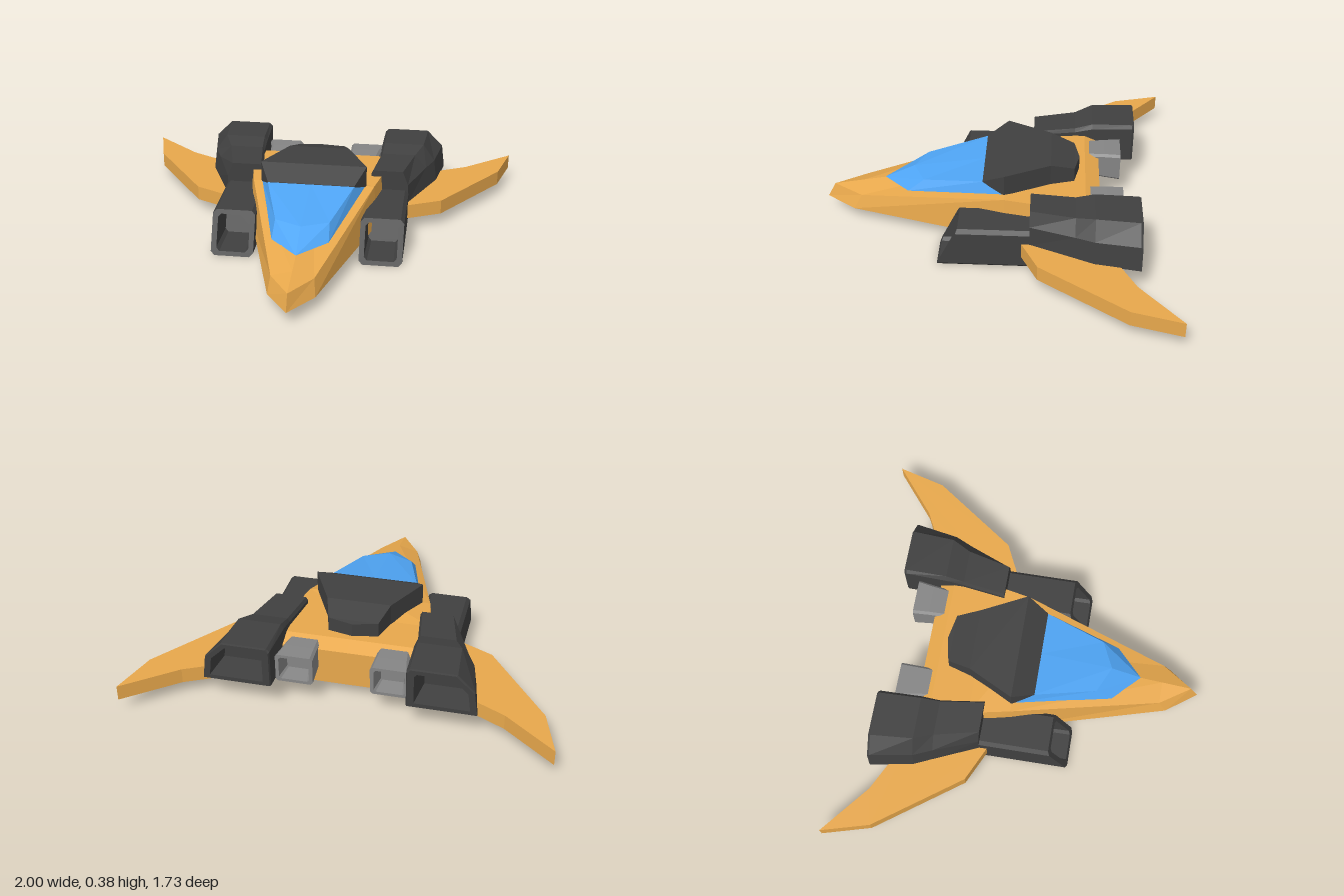
import * as THREE from 'three';

const material = (color) => new THREE.MeshStandardMaterial({ color, flatShading: true, side: THREE.DoubleSide });

// Skin a list of rings (each counterclockwise seen from +z, ordered front to back), capped at both ends.
// Folding the sequence back on itself makes a hollow mouth.
function loft(rings) {
  const pos = [];
  const a = new THREE.Vector3(), b = new THREE.Vector3(), c = new THREE.Vector3();
  const tri = (p, q, r) => {
    a.fromArray(p); b.fromArray(q).sub(a); c.fromArray(r).sub(a);
    if (b.cross(c).length() > 1e-7) pos.push(...p, ...q, ...r);
  };
  const n = rings[0].length;
  for (let k = 0; k + 1 < rings.length; k++) {
    for (let i = 0; i < n; i++) {
      const j = (i + 1) % n, f = rings[k], g = rings[k + 1];
      tri(f[i], g[i], g[j]);
      tri(f[i], g[j], f[j]);
    }
  }
  const first = rings[0], last = rings[rings.length - 1];
  for (let i = 1; i + 1 < n; i++) {
    tri(first[0], first[i], first[i + 1]);
    tri(last[0], last[i + 1], last[i]);
  }
  const geo = new THREE.BufferGeometry();
  geo.setAttribute('position', new THREE.Float32BufferAttribute(pos, 3));
  geo.computeVertexNormals();
  return geo;
}

const flip = (ring) => ring.map(([x, y, z]) => [-x, y, z]).reverse();
// Complete a ring from its left half, listed bottom to top
const whole = (half) => [...half, ...flip(half)];

// Rectangle with cut corners; z may depend on height
function cutRect(x0, x1, y0, y1, c, zAt) {
  return [[x0 + c, y0], [x1 - c, y0], [x1, y0 + c], [x1, y1 - c],
    [x1 - c, y1], [x0 + c, y1], [x0, y1 - c], [x0, y0 + c]].map(([x, y]) => [x, y, zAt(y)]);
}

// Shrink a ring about its middle and shift it in z
function inset(ring, s, dz) {
  const mid = (k) => {
    const v = ring.map((p) => p[k]);
    return (Math.min(...v) + Math.max(...v)) / 2;
  };
  const cx = mid(0), cy = mid(1);
  return ring.map(([x, y, z]) => [cx + (x - cx) * s, cy + (y - cy) * s, z + dz]);
}

export function createModel() {
  const model = new THREE.Group();
  const gold = material(0xe8a84c), dark = material(0x404040);
  const blue = material(0x4fa5f5), grey = material(0x858585);
  const add = (name, geo, mat) => {
    const mesh = new THREE.Mesh(geo, mat);
    mesh.name = name;
    model.add(mesh);
  };
  const addPair = (name, rings, mat) => {
    add(name + 'Left', loft(rings), mat);
    add(name + 'Right', loft(rings.map(flip)), mat);
  };

  // Wedge hull: lower edge, upper edge, centre line
  add('hull', loft([
    [[0, 0.07, 0.86], [0, 0.145, 0.82], [0, 0.145, 0.82]],
    [[0.11, 0.07, 0.71], [0.1, 0.145, 0.67], [0, 0.173, 0.67]],
    [[0.325, 0.07, -0.05], [0.305, 0.28, -0.05], [0, 0.305, -0.05]],
    [[0.37, 0.07, -0.25], [0.345, 0.28, -0.25], [0, 0.28, -0.25]],
    [[0.41, 0.07, -0.44], [0.36, 0.28, -0.44], [0, 0.28, -0.44]],
    [[0.42, 0.07, -0.51], [0.36, 0.25, -0.51], [0, 0.25, -0.51]],
  ].map(whole)), gold);

  // Flat swept wings
  const plan = [[0.3, -0.08], [0.47, -0.14], [0.64, -0.22], [0.935, -0.63], [1, -0.865],
    [0.76, -0.67], [0.6, -0.59], [0.4, -0.51], [0.3, -0.5]];
  for (const [side, name] of [[1, 'wingLeft'], [-1, 'wingRight']]) {
    const shape = new THREE.Shape(plan.map(([x, z]) => new THREE.Vector2(side * x, -z)));
    const geo = new THREE.ExtrudeGeometry(shape, { depth: 0.074, bevelEnabled: false });
    add(name, geo.rotateX(-Math.PI / 2).translate(0, 0.071, 0), gold);
  }

  // Glass canopy: lower edge, roof edge, centre line
  add('canopyGlass', loft([
    [[0, 0.195, 0.56], [0, 0.195, 0.56], [0, 0.195, 0.56]],
    [[0.135, 0.203, 0.43], [0.13, 0.268, 0.35], [0, 0.268, 0.41]],
    [[0.262, 0.283, -0.05], [0.215, 0.322, 0.055], [0, 0.322, 0.055]],
  ].map(whole)), blue);

  // Dark cover behind the glass: lower edge, upper edge
  add('canopyCover', loft([
    [[0.215, 0.318, 0.056], [0.215, 0.324, 0.056]],
    [[0.266, 0.278, -0.05], [0.266, 0.385, -0.05]],
    [[0.155, 0.278, -0.27], [0.155, 0.385, -0.27]],
    [[0.12, 0.278, -0.385], [0.12, 0.35, -0.385]],
    [[0, 0.278, -0.41], [0, 0.345, -0.41]],
  ].map(whole)), dark);

  // Lower intake pods with a raked hollow mouth
  const rake = (y) => 0.262 - (y - 0.005) * 0.49;
  addPair('intakePod', [
    cutRect(0.29, 0.44, 0.03, 0.185, 0.015, (y) => rake(y) - 0.2),
    cutRect(0.285, 0.445, 0.025, 0.19, 0.015, rake),
    cutRect(0.26, 0.472, 0.005, 0.21, 0.018, rake),
    cutRect(0.26, 0.472, 0.005, 0.21, 0.018, () => -0.425),
    cutRect(0.268, 0.464, 0.013, 0.202, 0.018, () => -0.435),
  ], dark);

  // Upper engines flaring outward to a hollow exhaust
  const engineRing = (z, xs, yMid, yTop, yIn) => {
    const [inner, outer, mid, top, innerTop] = xs;
    return [[inner, 0.14, z], [outer, 0.14, z], [mid, yMid, z], [top, yTop, z],
      [innerTop, yTop, z], [inner, yIn, z]];
  };
  const exhaust = engineRing(-0.695, [0.32, 0.64, 0.625, 0.54, 0.335], 0.255, 0.338, 0.32);
  addPair('engine', [
    engineRing(-0.178, [0.28, 0.472, 0.468, 0.44, 0.29], 0.24, 0.312, 0.295),
    engineRing(-0.39, [0.31, 0.565, 0.55, 0.49, 0.32], 0.25, 0.318, 0.3),
    engineRing(-0.48, [0.31, 0.605, 0.59, 0.53, 0.325], 0.255, 0.342, 0.32),
    engineRing(-0.685, [0.315, 0.64, 0.625, 0.545, 0.33], 0.26, 0.34, 0.325),
    exhaust,
    inset(exhaust, 0.8, 0),
    inset(exhaust, 0.66, 0.14),
  ], dark);

  // Small square thrusters at the stern
  const thruster = cutRect(0.135, 0.315, 0.125, 0.27, 0.012, () => -0.622);
  addPair('thruster', [
    cutRect(0.14, 0.29, 0.15, 0.27, 0.012, () => -0.46),
    cutRect(0.138, 0.3, 0.135, 0.272, 0.012, () => -0.54),
    thruster,
    inset(thruster, 0.8, 0),
    inset(thruster, 0.62, 0.08),
  ], grey);

  return model;
}
